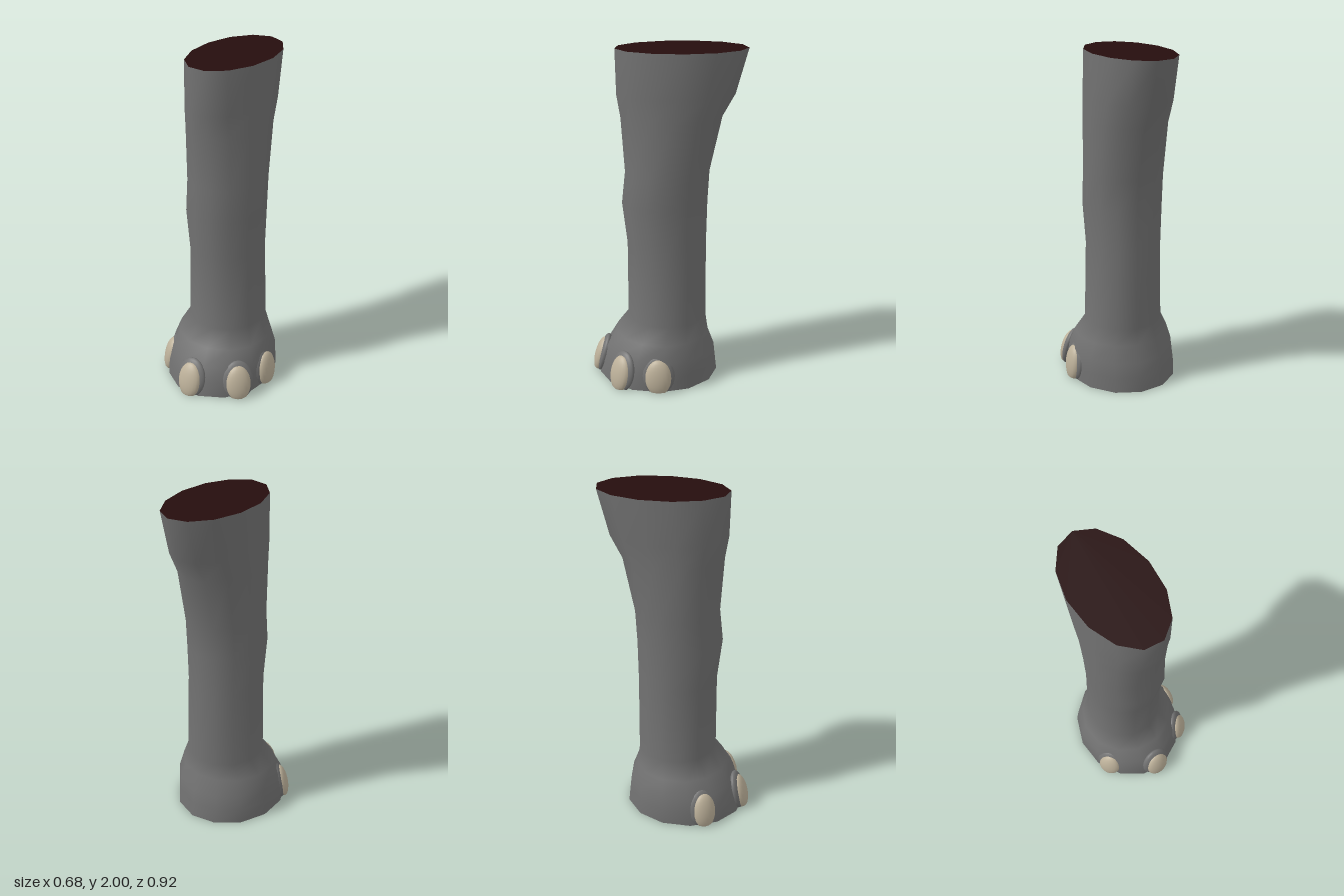
import * as THREE from 'three';

const SIDES = 13;

// Cross-sections from the sole up: y, xMin, xMax, zMin, zMax
const RINGS = [
  [0, -0.343, 0.31, -0.305, 0.42],
  [0.09, -0.343, 0.31, -0.295, 0.405],
  [0.18, -0.33, 0.305, -0.285, 0.375],
  [0.28, -0.295, 0.275, -0.247, 0.315],
  [0.38, -0.24, 0.225, -0.232, 0.24],
  [0.85, -0.23, 0.212, -0.23, 0.24],
  [1.1, -0.24, 0.224, -0.235, 0.27],
  [1.29, -0.24, 0.224, -0.245, 0.25],
  [1.61, -0.24, 0.224, -0.315, 0.272],
  [1.74, -0.24, 0.224, -0.388, 0.294],
  [2, -0.24, 0.224, -0.46, 0.3],
];

// Points of one oval cross-section, anticlockwise from above
function ringPoints([y, x0, x1, z0, z1]) {
  const points = [];
  for (let i = 0; i < SIDES; i++) {
    const a = Math.PI - 0.1 + (i / SIDES) * Math.PI * 2;
    points.push([
      (x0 + x1) / 2 + (Math.sin(a) * (x1 - x0)) / 2,
      y,
      (z0 + z1) / 2 + (Math.cos(a) * (z1 - z0)) / 2,
    ]);
  }
  return points;
}

function buildGeometry(points, index) {
  const g = new THREE.BufferGeometry();
  g.setAttribute('position', new THREE.Float32BufferAttribute(points.flat(), 3));
  g.setIndex(index);
  g.computeVertexNormals();
  return g;
}

// Smooth skin lofted through all rings
function skinGeometry() {
  const index = [];
  for (let r = 0; r < RINGS.length - 1; r++) {
    for (let i = 0; i < SIDES; i++) {
      const j = (i + 1) % SIDES;
      const a = r * SIDES + i, b = r * SIDES + j;
      index.push(a, b, b + SIDES, a, b + SIDES, a + SIDES);
    }
  }
  return buildGeometry(RINGS.flatMap(ringPoints), index);
}

// Flat end closing one ring
function capGeometry(ring, up) {
  const index = [];
  for (let i = 1; i < SIDES - 1; i++) index.push(...(up ? [0, i, i + 1] : [0, i + 1, i]));
  return buildGeometry(ringPoints(ring), index);
}

// Flattened ellipsoid leaning with the foot and cut off at the ground
function padGeometry(size, [x, y, z], angle, tilt) {
  const g = new THREE.SphereGeometry(1, 20, 14);
  g.scale(...size).rotateX(-tilt).rotateY(angle).translate(x, y, z);
  const p = g.attributes.position;
  for (let i = 0; i < p.count; i++) p.setY(i, Math.max(p.getY(i), 0.003));
  return g;
}

export function createModel() {
  const skin = new THREE.MeshStandardMaterial({ color: 0x727272 });
  skin.name = 'grey skin';
  const flesh = new THREE.MeshStandardMaterial({ color: 0x260d0d });
  flesh.name = 'dark flesh';
  const horn = new THREE.MeshStandardMaterial({ color: 0xbdb19a });
  horn.name = 'toenail horn';

  const model = new THREE.Group();
  model.name = 'leg';
  const add = (name, geometry, material) => {
    const mesh = new THREE.Mesh(geometry, material);
    mesh.name = name;
    model.add(mesh);
  };

  add('legSkin', skinGeometry(), skin);
  add('sole', capGeometry(RINGS[0], false), flesh);
  add('topCut', capGeometry(RINGS[RINGS.length - 1], true), flesh);

  // Toenails: name, x, z, facing angle, lean, half width
  const toes = [
    ['outerRight', -0.287, 0.227, -0.95, 0.2, 0.07],
    ['front', -0.033, 0.41, -0.05, 0.25, 0.075],
    ['frontLeft', 0.237, 0.292, 0.7, 0.22, 0.075],
    ['outerLeft', 0.302, 0.066, 1.5, 0.1, 0.078],
  ];
  for (const [name, x, z, angle, tilt, w] of toes) {
    add(name + 'Toenail', padGeometry([w, 0.112, 0.04], [x, 0.092, z], angle, tilt), horn);
    // Skin fold behind the nail
    const back = [x - Math.sin(angle) * 0.02, 0.1, z - Math.cos(angle) * 0.02];
    add(name + 'ToeFold', padGeometry([w + 0.02, 0.125, 0.036], back, angle, tilt), skin);
  }
  return model;
}
